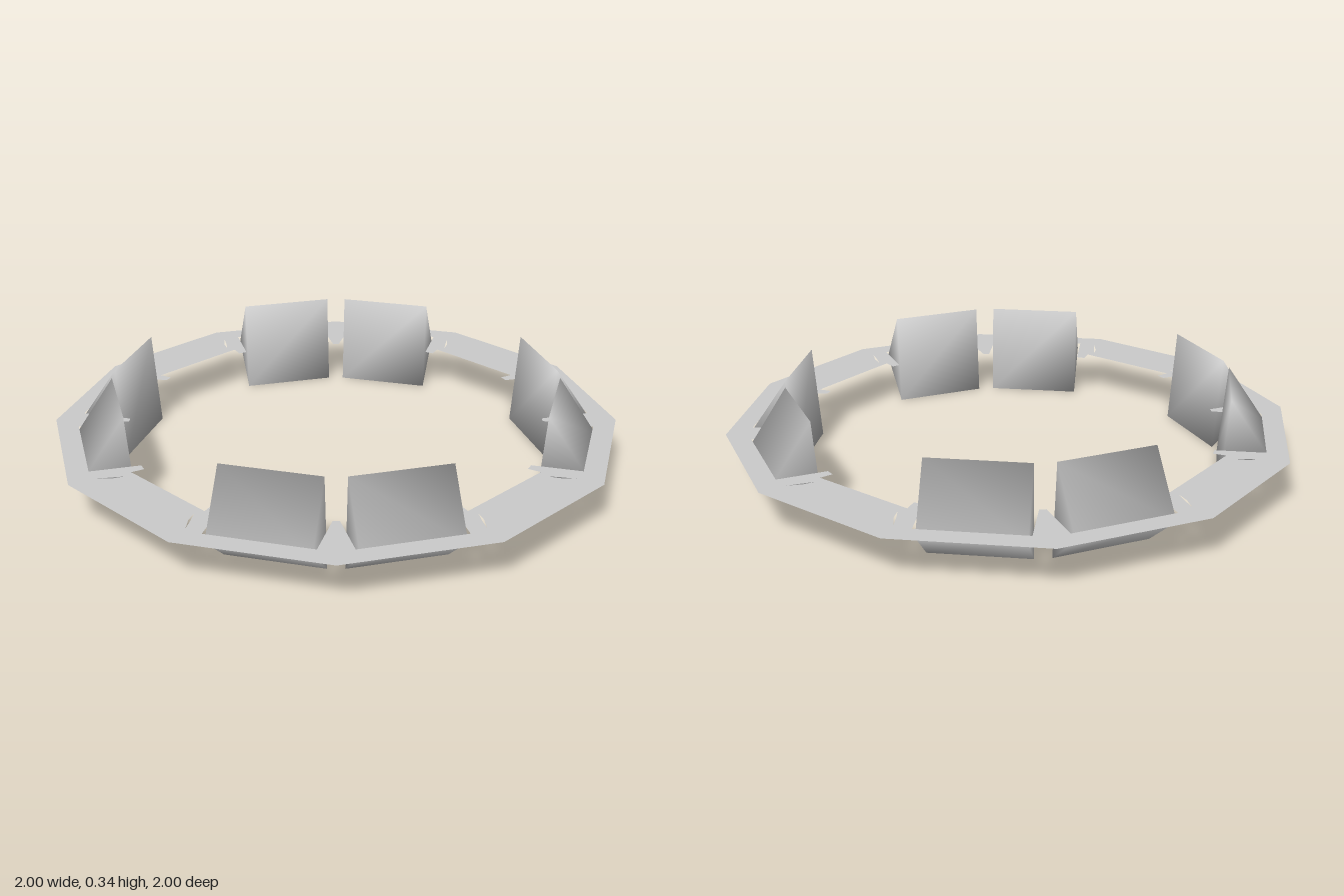
import * as THREE from 'three';

const STEP = Math.PI / 12; // 15 degrees, half of one dodecagon side
const RING_Y = 0.158;
const material = new THREE.MeshStandardMaterial({ color: 0xcccccc });
const sheetMaterial = new THREE.MeshStandardMaterial({ color: 0xcccccc, side: THREE.DoubleSide });

// Plan point from offset t along a side and distance r from the centre
function sidePoint(t, r, angle = STEP) {
  const s = Math.sin(angle), c = Math.cos(angle);
  return new THREE.Vector2(r * s + t * c, r * c - t * s);
}

// Rotates plan points about the centre by quarter turns (clockwise)
function quarterTurn(points, k) {
  return points.map(p => p.clone().rotateAround(new THREE.Vector2(), -k * Math.PI / 2));
}

// Flat twelve-sided ring with notches for the wedges
function createRing() {
  const outer = [];
  for (let i = 0; i < 12; i++) outer.push(sidePoint(0, 1, i * Math.PI / 6));

  // Inner outline of one eighth: divider tip, notch, hooked flap
  const eighth = [
    [-0.18, 0.715], [-0.18, 0.893], [0.18, 0.893],
    [0.18, 0.72], [0.21, 0.713], [0.221, 0.758],
  ].map(([t, r]) => sidePoint(t, r));
  const mirror = pts => pts.map(p => new THREE.Vector2(p.y, p.x));
  const quarter = [...eighth, ...mirror(eighth).reverse()];

  // Narrow curved slit beside each flap
  const slit = [[0.458, 0.785], [0.454, 0.73], [0.44, 0.69], [0.447, 0.735]]
    .map(([x, y]) => new THREE.Vector2(x, y));

  const shape = new THREE.Shape(outer);
  const inner = [];
  for (let k = 0; k < 4; k++) {
    inner.push(...quarterTurn(quarter, k));
    shape.holes.push(new THREE.Path(quarterTurn(slit, k)));
    shape.holes.push(new THREE.Path(quarterTurn(mirror(slit), k)));
  }
  shape.holes.push(new THREE.Path(inner));

  const ring = new THREE.Mesh(new THREE.ShapeGeometry(shape).rotateX(-Math.PI / 2), sheetMaterial);
  ring.position.y = RING_Y;
  ring.name = 'notchedRing';
  return ring;
}

// Triangular wedge with shared, smoothed normals
function createWedgeGeometry() {
  const section = [[0, 0.74], [0.335, 0.766], [0.135, 0.905]]; // y, z: bottom, top, outer edge
  const positions = [];
  for (const x of [-0.169, 0.169]) for (const [y, z] of section) positions.push(x, y, z);
  const geometry = new THREE.BufferGeometry();
  geometry.setAttribute('position', new THREE.Float32BufferAttribute(positions, 3));
  geometry.setIndex([
    0, 2, 1, 3, 4, 5, // ends
    3, 0, 1, 3, 1, 4, // inner panel
    1, 2, 5, 1, 5, 4, // upper outer face
    0, 3, 5, 0, 5, 2, // lower outer face
  ]);
  geometry.computeVertexNormals();
  return geometry;
}

export function createModel() {
  const model = new THREE.Group();
  model.name = 'wedgeRing';
  model.add(createRing());

  // Pairs of wedges around the four main directions
  const wedges = new THREE.Group();
  wedges.name = 'wedges';
  const geometry = createWedgeGeometry();
  for (let k = 0; k < 4; k++) {
    for (const side of [-1, 1]) {
      const wedge = new THREE.Mesh(geometry, material);
      wedge.rotation.y = k * Math.PI / 2 + side * STEP;
      wedge.name = 'wedge';
      wedges.add(wedge);
    }
  }
  model.add(wedges);
  return model;
}
